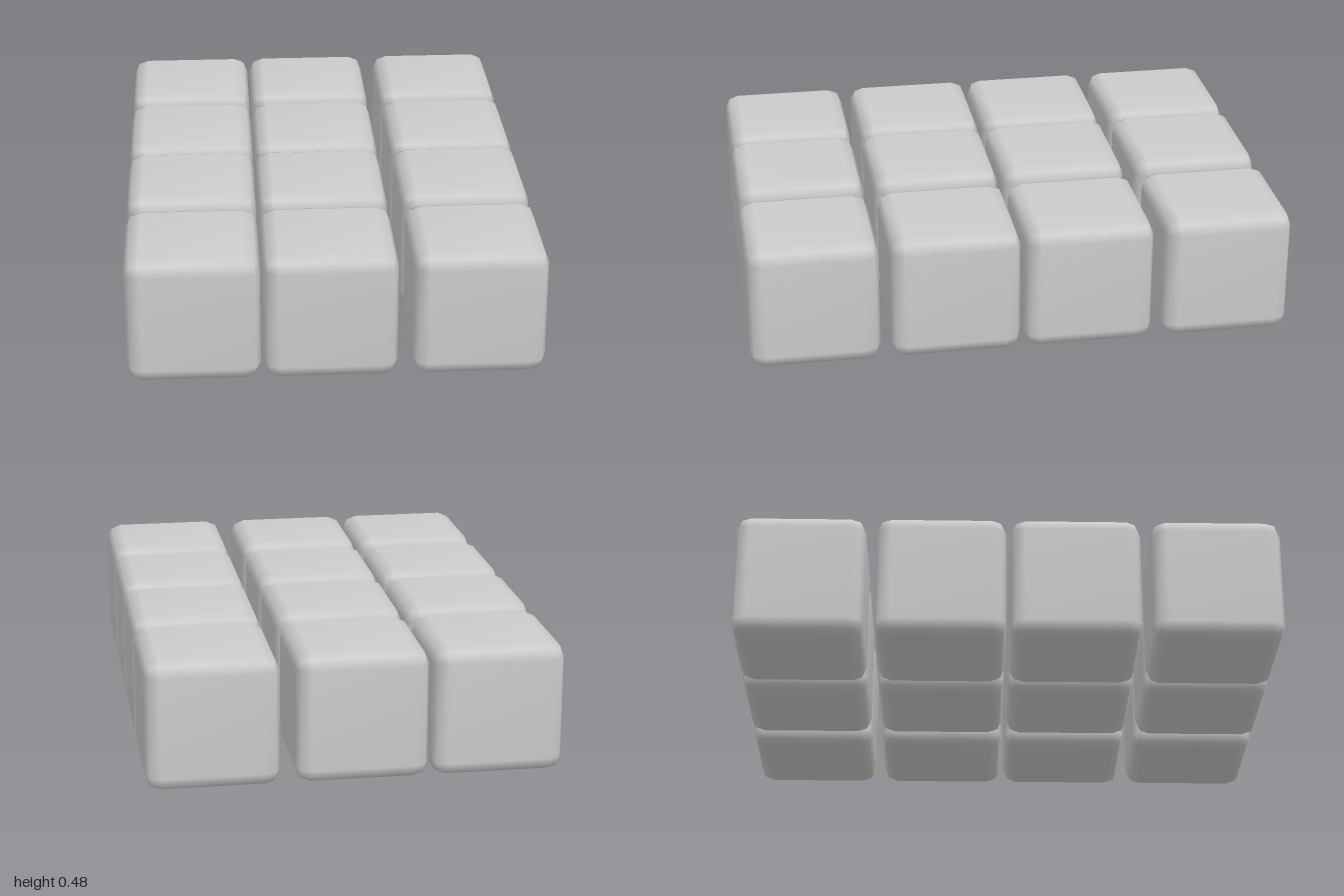
import * as THREE from 'three';
import { RoundedBoxGeometry } from 'three/addons/geometries/RoundedBoxGeometry.js';
import { mergeVertices } from 'three/addons/utils/BufferGeometryUtils.js';

const SIZE = 0.477;
const BEVEL = 0.055;
const COLUMNS = [-0.509, -0.021, 0.509];
const ROWS = [-0.7615, -0.246, 0.246, 0.7615];

// Cube with a two-step bevel and normals shared across faces and bevels
function softCube() {
  const geometry = new RoundedBoxGeometry(SIZE, SIZE, SIZE, 1, BEVEL);
  geometry.deleteAttribute('uv');
  geometry.deleteAttribute('normal');
  const welded = mergeVertices(geometry, 1e-4);
  welded.computeVertexNormals();
  return welded;
}

export function createModel() {
  const model = new THREE.Group();
  model.name = 'cubeGrid';
  const material = new THREE.MeshStandardMaterial({ color: 0xcccccc });
  const geometry = softCube();

  // Four rows of three unevenly spaced cubes
  ROWS.forEach((z, r) => {
    const row = new THREE.Group();
    row.name = `row${r + 1}`;
    COLUMNS.forEach((x, c) => {
      const cube = new THREE.Mesh(geometry, material);
      cube.name = `cubeRow${r + 1}Column${c + 1}`;
      cube.position.set(x, SIZE / 2, z);
      row.add(cube);
    });
    model.add(row);
  });
  return model;
}
